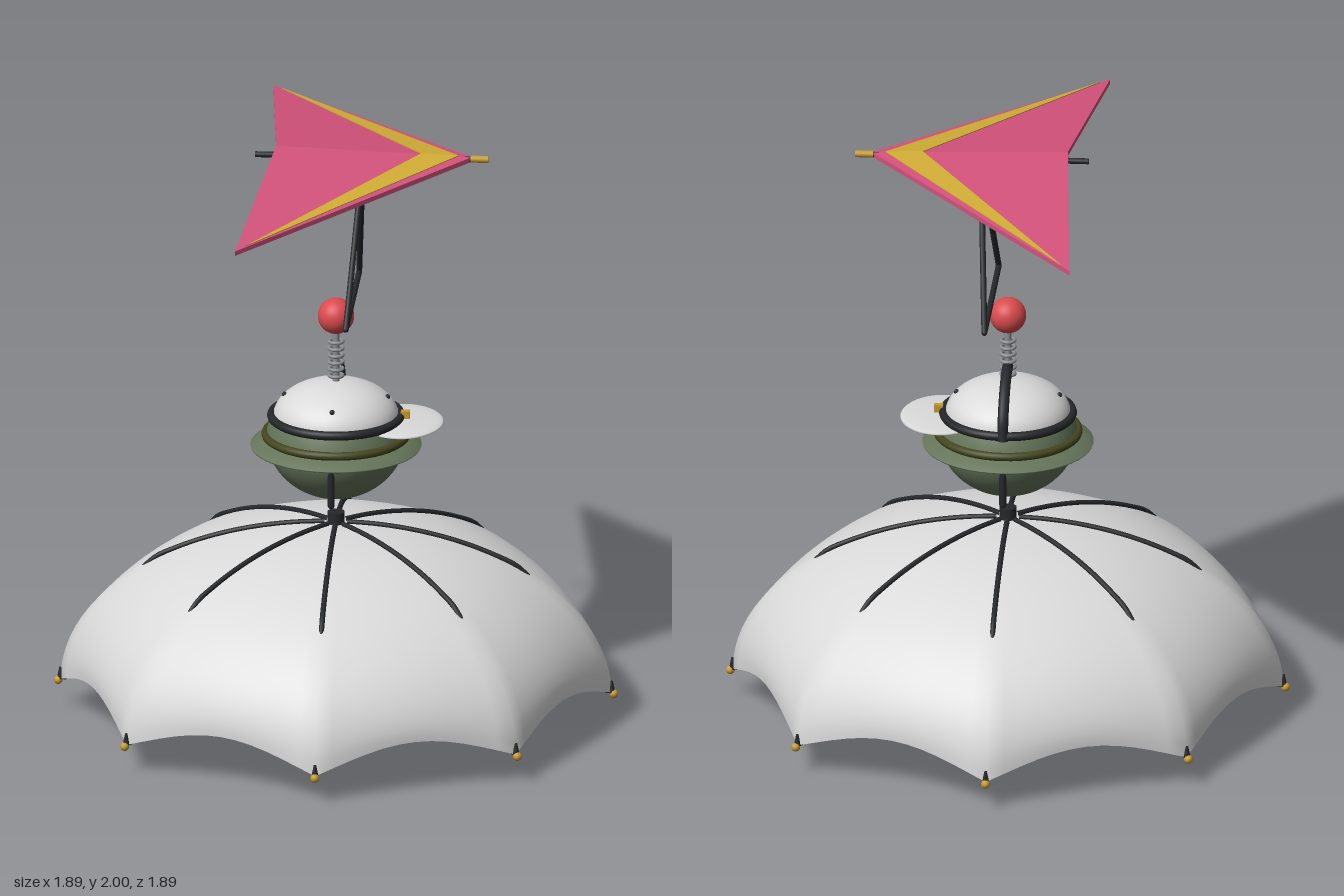
import * as THREE from 'three';

const mat = (name, color) => {
  const m = new THREE.MeshStandardMaterial({ color });
  m.name = name;
  return m;
};

export function createModel() {
  const root = new THREE.Group();
  root.name = 'umbrellaGlider';
  const fabric = mat('paleGrey', 0xdadada);
  fabric.side = THREE.DoubleSide;
  const black = mat('black', 0x25272a);
  const green = mat('sageGreen', 0x66755a);
  const olive = mat('darkOlive', 0x45471f);
  const gold = mat('gold', 0xc49a2f);
  const red = mat('red', 0xdb4a4d);
  const steel = mat('steel', 0x8c8f92);
  const pink = mat('pink', 0xd4527c);
  const yellow = mat('yellow', 0xd2ae36);

  const V = (x, y, z) => new THREE.Vector3(x, y, z);
  const add = (name, geo, material, x = 0, y = 0, z = 0, parent = root) => {
    const m = new THREE.Mesh(geo, material);
    m.name = name;
    m.position.set(x, y, z);
    parent.add(m);
    return m;
  };
  // straight rod between two points
  const rod = (name, a, b, r, material) => {
    const m = add(name, new THREE.CylinderGeometry(r, r, a.distanceTo(b), 12), material);
    m.position.copy(a).lerp(b, 0.5);
    m.quaternion.setFromUnitVectors(V(0, 1, 0), b.clone().sub(a).normalize());
    return m;
  };
  const tube = (pts, r, n = 32) =>
    new THREE.TubeGeometry(new THREE.CatmullRomCurve3(pts), n, r, 10);
  const ring = (name, R, r, y, material) => {
    const m = add(name, new THREE.TorusGeometry(R, r, 10, 48), material, 0, y);
    m.rotation.x = Math.PI / 2;
    return m;
  };

  // Canopy: eight gores with a scalloped rim
  const GORES = 8, PER = 12, ROWS = 24, COLS = GORES * PER;
  const pos = [], idx = [];
  for (let i = 0; i <= ROWS; i++) {
    const t = i / ROWS, phi = t * Math.PI / 2;
    for (let j = 0; j < COLS; j++) {
      const a = j / COLS * Math.PI * 2, k = (j % PER) / PER;
      const chord = Math.cos(Math.PI / 8) / Math.cos((k - 0.5) * Math.PI / 4);
      const r = 0.92 * Math.sin(phi) * (1 + (chord - 1) * t);
      const y = 0.1 + 0.575 * Math.cos(phi) + 0.083 * Math.sin(Math.PI * k) * t ** 5;
      pos.push(r * Math.cos(a), y, r * Math.sin(a));
      if (i < ROWS) {
        const p = i * COLS + j, q = i * COLS + (j + 1) % COLS;
        if (i > 0) idx.push(p, q, p + COLS);
        idx.push(q, q + COLS, p + COLS);
      }
    }
  }
  const canopy = new THREE.BufferGeometry();
  canopy.setAttribute('position', new THREE.Float32BufferAttribute(pos, 3));
  canopy.setIndex(idx);
  canopy.computeVertexNormals();
  add('canopy', canopy, fabric);

  // Ribs lie over the crown, then pass under the fabric to the tips
  const ribPts = [];
  for (let i = 0; i <= 16; i++) {
    const phi = 0.04 + (i / 16) * (Math.PI / 2 - 0.04);
    const off = phi < 0.73 ? 0.004 : -0.012;
    ribPts.push(V((0.92 + off) * Math.sin(phi), 0.1 + (0.575 + off) * Math.cos(phi), 0));
  }
  const ribGeo = tube(ribPts, 0.009, 48);
  for (let i = 0; i < GORES; i++) {
    const g = new THREE.Group();
    g.name = 'rib' + (i + 1);
    g.rotation.y = i * Math.PI / 4;
    root.add(g);
    add('ribRod', ribGeo, black, 0, 0, 0, g);
    add('ribCap', new THREE.CylinderGeometry(0.004, 0.012, 0.04, 10), black, 0.921, 0.12, 0, g);
    add('ribTip', new THREE.SphereGeometry(0.015, 14, 10), gold, 0.928, 0.096, 0, g);
  }
  add('hub', new THREE.CylinderGeometry(0.029, 0.029, 0.045, 20), black, 0, 0.692);

  // Hooked handle
  const hook = [V(0, 0.2, 0), V(0, 0.14, 0)];
  for (let i = 0; i <= 10; i++) {
    const a = Math.PI + (i / 10) * Math.PI * 1.05;
    hook.push(V(0.06 + 0.06 * Math.cos(a), 0.08 + 0.06 * Math.sin(a), 0));
  }
  add('handle', tube(hook, 0.019, 48), olive);
  add('handleEnd', new THREE.SphereGeometry(0.019, 14, 10), olive).position.copy(hook.at(-1));
  add('handleTop', new THREE.CylinderGeometry(0.019, 0.019, 0.004, 14), olive, 0, 0.2);

  // Round body with a flange and rings
  const bowl = [];
  for (let i = 0; i <= 16; i++) {
    const a = (i / 16) * Math.PI / 2;
    bowl.push(new THREE.Vector2(0.235 * Math.sin(a), 0.99 - 0.218 * Math.cos(a)));
  }
  bowl.push(new THREE.Vector2(0.222, 1.03), new THREE.Vector2(0.21, 1.055));
  add('body', new THREE.LatheGeometry(bowl, 48), green);
  const flange = [[0.225, 0.952], [0.284, 0.948], [0.286, 0.953], [0.255, 0.968], [0.225, 0.978]];
  add('flange', new THREE.LatheGeometry(flange.map(p => new THREE.Vector2(...p)), 48), green);
  ring('lowerRing', 0.235, 0.014, 0.99, olive);
  ring('upperRing', 0.215, 0.015, 1.055, black);
  for (const s of [1, -1]) {
    add('leg', new THREE.CapsuleGeometry(0.012, 0.12, 6, 12), black, 0, 0.87, s * 0.215);
  }

  // Domed cap with rivets, visor and clasp
  const dome = add('dome',
    new THREE.SphereGeometry(0.21, 40, 16, 0, Math.PI * 2, 0, Math.PI / 2), fabric, 0, 1.05);
  dome.scale.y = 0.6;
  for (let i = 0; i < 4; i++) {
    const a = i * Math.PI / 2;
    add('rivet', new THREE.SphereGeometry(0.009, 10, 8), black,
      0.172 * Math.cos(a), 1.123, 0.172 * Math.sin(a));
  }
  const visor = add('visor', new THREE.SphereGeometry(1, 40, 14), fabric, 0.22, 1.037);
  visor.scale.set(0.14, 0.014, 0.175);
  add('clasp', new THREE.BoxGeometry(0.03, 0.025, 0.025), gold, 0.232, 1.063);

  // Hose from the crown down the back
  add('hose', tube([V(0, 1.225, 0), V(0, 1.22, -0.07), V(0, 1.175, -0.15),
    V(0, 1.11, -0.205), V(0, 1.04, -0.22)], 0.018), black);

  // Spring neck and ball
  add('neckRod', new THREE.CylinderGeometry(0.011, 0.011, 0.19, 12), steel, 0, 1.265);
  for (let i = 0; i < 6; i++) ring('springCoil', 0.023, 0.006, 1.195 + i * 0.024, steel);
  add('ball', new THREE.SphereGeometry(0.061, 32, 20), red, 0, 1.405);

  // Control frame under the glider
  const apex = V(0.09, 1.95, 0), L = V(0.055, 1.46, 0.295), R = V(0.055, 1.46, -0.295);
  rod('frameBarLeft', apex, L, 0.01, black);
  rod('frameBarRight', apex, R, 0.01, black);
  rod('frameBase', L, R, 0.01, black);
  for (const p of [apex, L, R]) {
    add('frameJoint', new THREE.SphereGeometry(0.01, 12, 8), black).position.copy(p);
  }
  rod('keel', V(-0.27, 1.968, 0), V(0.47, 1.968, 0), 0.01, black);
  rod('keelTip', V(0.45, 1.97, 0), V(0.51, 1.97, 0), 0.012, gold);

  // Triangular slab; points run counter-clockwise seen from above
  const slab = (name, tri, h, material) => {
    const low = tri.map(p => p.clone().setY(p.y - h));
    const [a, b, c] = tri, [d, e, f] = low;
    const faces = [a, b, c, d, f, e];
    for (const [p, q, r, s] of [[a, d, e, b], [b, e, f, c], [c, f, d, a]]) {
      faces.push(p, r, q.clone(), p, s, r);
      faces.splice(-6, 6, p, q, r, p, r, s);
    }
    const g = new THREE.BufferGeometry().setFromPoints(faces);
    g.computeVertexNormals();
    add(name, g, material);
  };
  const nose = V(0.455, 1.977, 0), tail = V(-0.2, 2.0, 0);
  for (const s of [1, -1]) {
    const side = s > 0 ? 'Left' : 'Right';
    const tip = V(-0.273, 1.918, s * 0.84);
    const order = pts => (s > 0 ? pts : [pts[0], pts[2], pts[1]]);
    const onWing = (u, v) => nose.clone().lerp(tail, u).lerp(tip, v).add(V(0, 0.003, 0));
    slab('wing' + side, order([nose, tail, tip]), 0.016, pink);
    slab('wingStripe' + side,
      order([onWing(0.07, 0), onWing(0.26, 0), onWing(0.15, 0.95)]), 0.004, yellow);
  }
  return root;
}
